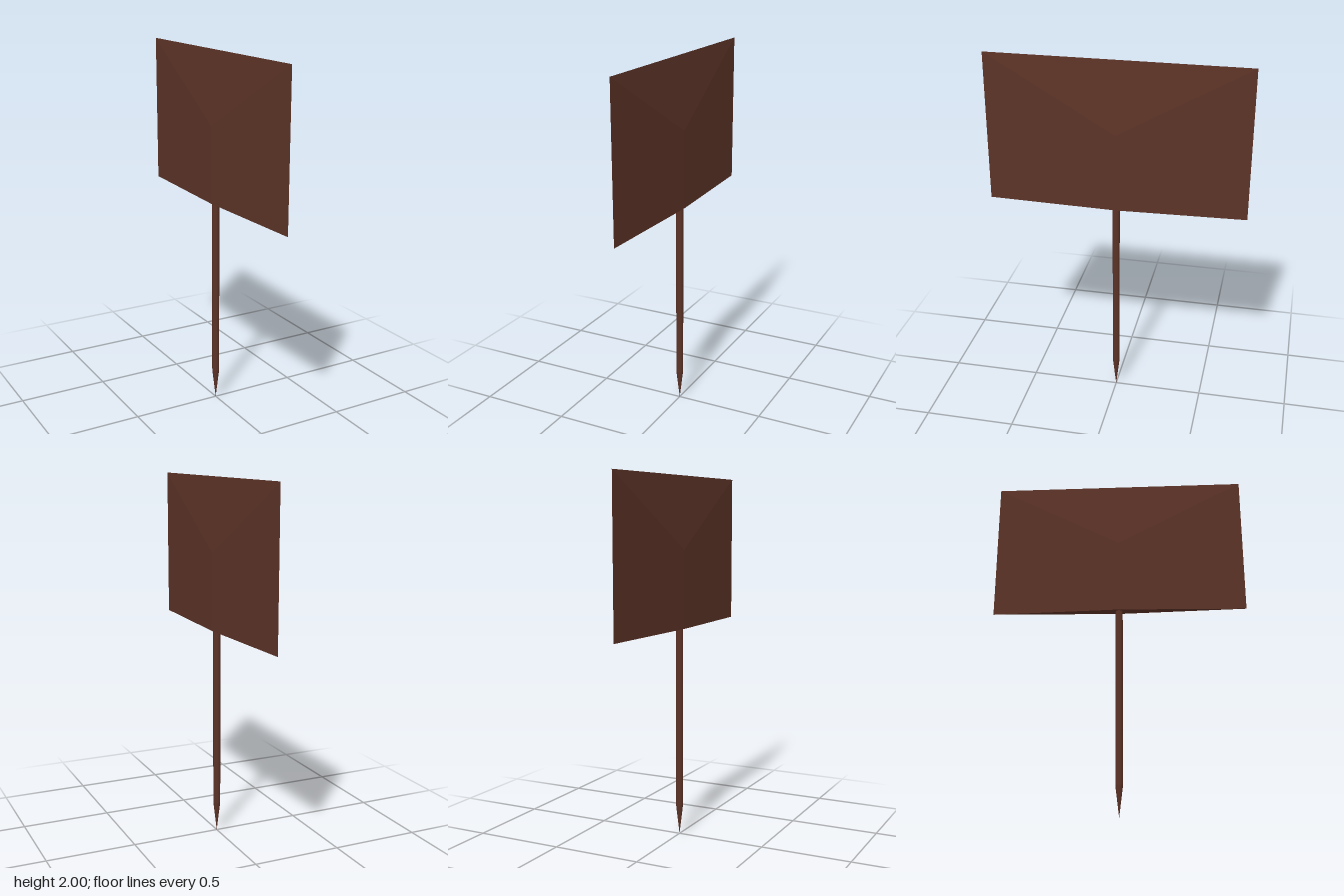
import * as THREE from 'three';

export function createModel() {
  const group = new THREE.Group();
  const wood = new THREE.MeshStandardMaterial({ color: 0x5c3327 });
  const boardWood = new THREE.MeshStandardMaterial({ color: 0x5c3327, flatShading: true });
  const bottom = 1.17, ridgeTop = 1.6, top = 2, halfWidth = 0.71, halfDepth = 0.028;

  // Board: thin at its rim, with a vertical ridge on both broad faces
  const corners = [
    [0, top, halfWidth], [0, top, -halfWidth],
    [0, bottom, -halfWidth], [0, bottom, halfWidth],
    [halfDepth, ridgeTop, 0], [halfDepth, bottom, 0],
    [-halfDepth, ridgeTop, 0], [-halfDepth, bottom, 0],
  ];
  const faces = [
    0, 4, 1, 1, 4, 5, 1, 5, 2, 0, 3, 5, 0, 5, 4, // +x face
    0, 1, 6, 1, 7, 6, 1, 2, 7, 0, 7, 3, 0, 6, 7, // -x face
    2, 5, 7, 3, 7, 5, // underside
  ];
  const boardGeometry = new THREE.BufferGeometry();
  boardGeometry.setAttribute('position', new THREE.Float32BufferAttribute(corners.flat(), 3));
  boardGeometry.setIndex(faces);
  const flatBoard = boardGeometry.toNonIndexed();
  flatBoard.computeVertexNormals();
  const board = new THREE.Mesh(flatBoard, boardWood);
  board.name = 'signBoard';
  group.add(board);

  // Round post with a sharpened tip
  const radius = 0.02, tipHeight = 0.17;
  const post = new THREE.Mesh(new THREE.CylinderGeometry(radius, radius, bottom - tipHeight, 12), wood);
  post.position.y = (bottom + tipHeight) / 2;
  post.name = 'post';
  const tip = new THREE.Mesh(new THREE.ConeGeometry(radius, tipHeight, 12, 1, true), wood);
  tip.rotation.x = Math.PI;
  tip.position.y = tipHeight / 2;
  tip.name = 'postTip';
  group.add(post, tip);

  return group;
}
